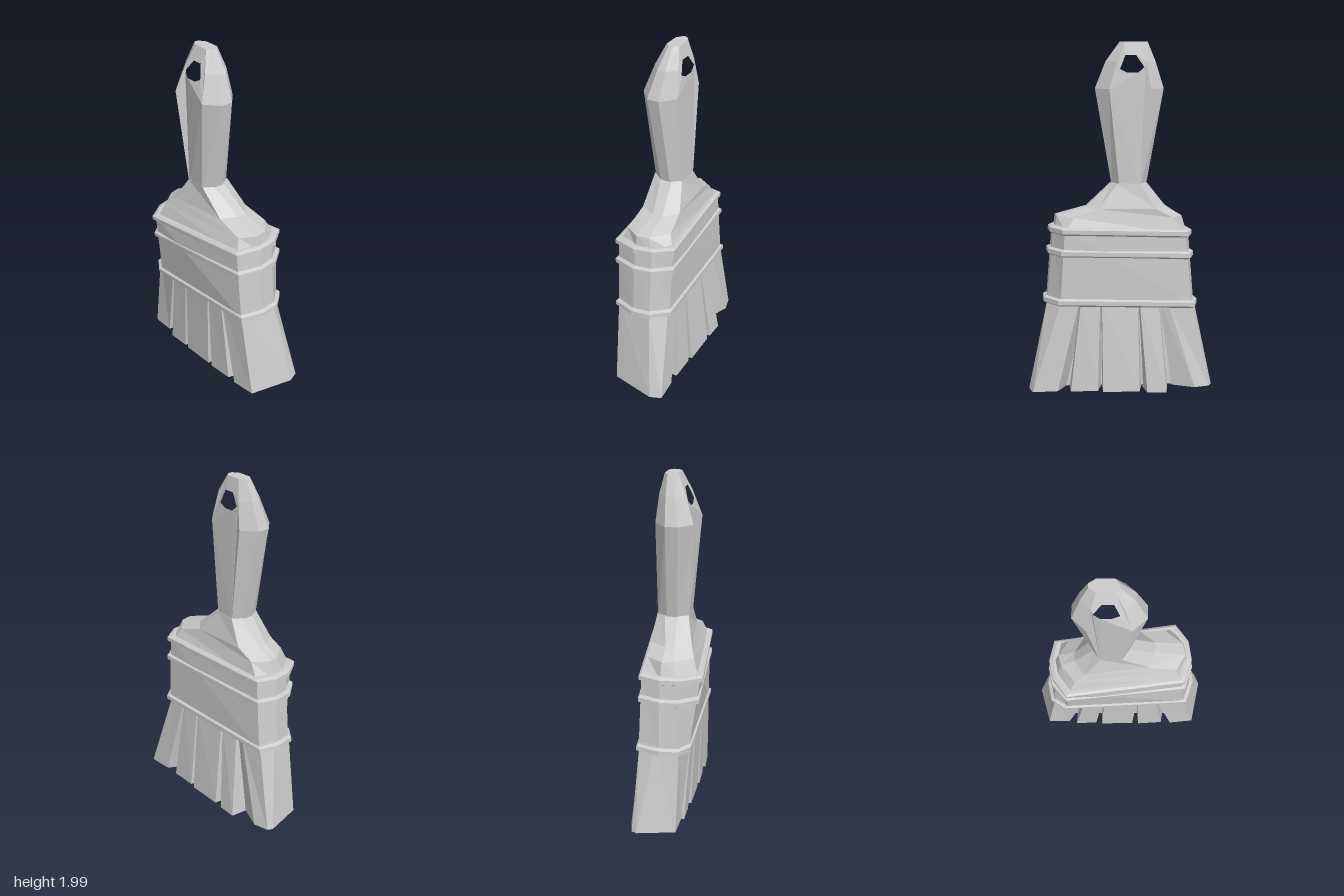
import * as THREE from 'three';

const material = new THREE.MeshStandardMaterial({ color: 0xcccccc, flatShading: true });

// Closed skin over stacked rings of [x, y, z]; rings run from +x towards +z, bottom to top
function loft(name, rings) {
  const pos = [];
  const n = rings[0].length;
  const tri = (...corners) => corners.forEach((c) => pos.push(...c));
  for (let r = 0; r < rings.length - 1; r++) {
    for (let i = 0; i < n; i++) {
      const j = (i + 1) % n, a = rings[r], b = rings[r + 1];
      tri(a[i], b[i], b[j]);
      tri(a[i], b[j], a[j]);
    }
  }
  const bottom = rings[0], top = rings[rings.length - 1];
  for (let i = 1; i < n - 1; i++) {
    tri(bottom[0], bottom[i], bottom[i + 1]);
    tri(top[0], top[i + 1], top[i]);
  }
  const geometry = new THREE.BufferGeometry();
  geometry.setAttribute('position', new THREE.Float32BufferAttribute(pos, 3));
  geometry.computeVertexNormals();
  const mesh = new THREE.Mesh(geometry, material);
  mesh.name = name;
  return mesh;
}

// Rings lean a little, so the bands sit askew
const level = (y, points, lean = 1) =>
  points.map(([x, z]) => [x, y + lean * (0.05 * x + 0.04 * z), z]);

// Ferrule cross-sections at its lower and upper ends
const LOW = [[0.12, -0.41], [0.19, 0.34], [0.1, 0.42], [0, 0.43], [-0.12, 0.39], [-0.15, -0.33], [-0.1, -0.41], [0, -0.43]];
const HIGH = [[0.11, -0.37], [0.195, 0.31], [0.1, 0.38], [0, 0.395], [-0.13, 0.355], [-0.205, -0.3], [-0.1, -0.375], [0, -0.395]];
const LOW_Y = 0.52, HIGH_Y = 0.94;

function ferruleRing(y, grow = 0) {
  const t = (y - LOW_Y) / (HIGH_Y - LOW_Y);
  return level(y, LOW.map(([x, z], i) => {
    const px = x + (HIGH[i][0] - x) * t, pz = z + (HIGH[i][1] - z) * t;
    const len = Math.hypot(px * 2, pz);
    return [px + (grow * px * 2) / len, pz + (grow * pz) / len];
  }));
}

// Piecewise-linear lookup in rows of [y, value, value]
function lookup(rows, y) {
  let k = 0;
  while (k < rows.length - 2 && y > rows[k + 1][0]) k++;
  const t = THREE.MathUtils.clamp((y - rows[k][0]) / (rows[k + 1][0] - rows[k][0]), 0, 1);
  return [1, 2].map((c) => rows[k][c] + (rows[k + 1][c] - rows[k][c]) * t);
}

// Handle: side outline with a hanging hole, edges chamfered by pulling in the outer layers
function makeHandle() {
  const outline = [[0.045, 1.18], [0.14, 1.74], [0.08, 1.89], [0, 2], [-0.155, 2], [-0.2, 1.89], [-0.247, 1.74], [-0.146, 1.18]];
  const hole = [[0, 1.85], [-0.03, 1.925], [-0.09, 1.925], [-0.135, 1.86], [-0.1, 1.83], [-0.04, 1.83]];
  const toPoints = (list) => list.map(([z, y]) => new THREE.Vector2(-z, y));
  const shape = new THREE.Shape(toPoints(outline));
  shape.holes.push(new THREE.Path(toPoints(hole)));
  const geometry = new THREE.ExtrudeGeometry(shape, { depth: 1, steps: 3, bevelEnabled: false });
  geometry.rotateY(Math.PI / 2);
  const thickness = [[1.18, -0.095, 0.078], [1.74, -0.135, 0.075], [1.89, -0.085, 0.06], [2, -0.04, 0.035]];
  const p = geometry.attributes.position;
  for (let i = 0; i < p.count; i++) {
    const t = p.getX(i), y = p.getY(i), z = p.getZ(i);
    const [x0, x1] = lookup(thickness, y);
    p.setX(i, x0 + (x1 - x0) * t);
    const inHole = Math.hypot(z + 0.065, y - 1.875) < 0.085;
    const outer = t < 0.1 || t > 0.9;
    if (!inHole && outer) p.setZ(i, -0.06 + (z + 0.06) * 0.6);
  }
  geometry.computeVertexNormals();
  const mesh = new THREE.Mesh(geometry, material);
  mesh.name = 'handle';
  return mesh;
}

export function createModel() {
  const group = new THREE.Group();

  // Metal ferrule and its three raised bands
  group.add(loft('ferrule', [ferruleRing(LOW_Y), ferruleRing(HIGH_Y)]));
  [0.525, 0.81, 0.935].forEach((y, i) => {
    group.add(loft('ferruleBand' + (i + 1), [
      ferruleRing(y - 0.022, 0), ferruleRing(y - 0.012, 0.02),
      ferruleRing(y + 0.012, 0.02), ferruleRing(y + 0.022, 0),
    ]));
  });

  // Shoulder narrowing from the ferrule to the handle
  group.add(loft('shoulder', [
    ferruleRing(0.93, -0.01),
    level(1.02, [[0.09, -0.3], [0.15, 0.26], [0.07, 0.36], [0, 0.375], [-0.09, 0.32], [-0.16, -0.26], [-0.06, -0.34], [0, -0.355]], 0.4),
    level(1.07, [[0.1, -0.2], [0.125, 0.12], [0.06, 0.2], [0, 0.2], [-0.09, 0.16], [-0.135, -0.2], [-0.05, -0.26], [0, -0.26]], 0.2),
    level(1.21, [[0.08, -0.115], [0.08, 0.015], [0.03, 0.047], [-0.04, 0.047], [-0.098, 0.015], [-0.098, -0.115], [-0.04, -0.148], [0.03, -0.148]], 0),
  ]));
  group.add(makeHandle());

  // Bristle clumps: [bottom height, bottom section, top section]
  const clumps = [
    [0.03,
      [[0.212, 0.36], [0.225, 0.5], [0.16, 0.527], [-0.1, 0.475], [-0.115, 0.33], [0.05, 0.28]],
      [[0.172, 0.235], [0.178, 0.34], [0.1, 0.42], [-0.12, 0.39], [-0.13, 0.23], [0.05, 0.22]]],
    [0.025,
      [[0.2, 0.13], [0.205, 0.285], [0.05, 0.3], [-0.11, 0.27], [-0.12, 0.12], [0.05, 0.1]],
      [[0.162, 0.115], [0.172, 0.225], [0.05, 0.23], [-0.13, 0.22], [-0.135, 0.11], [0.05, 0.1]]],
    [0.02,
      [[0.2, -0.11], [0.205, 0.1], [0.05, 0.11], [-0.115, 0.08], [-0.12, -0.12], [0.04, -0.13]],
      [[0.145, -0.1], [0.16, 0.105], [0.05, 0.11], [-0.135, 0.1], [-0.14, -0.1], [0.04, -0.1]]],
    [0.01,
      [[0.195, -0.265], [0.195, -0.155], [0.05, -0.12], [-0.11, -0.16], [-0.115, -0.29], [0.04, -0.28]],
      [[0.13, -0.22], [0.143, -0.11], [0.05, -0.1], [-0.138, -0.11], [-0.14, -0.22], [0.04, -0.23]]],
    [0.03,
      [[0.14, -0.515], [0.165, -0.43], [0.12, -0.3], [-0.105, -0.335], [-0.105, -0.47], [0.11, -0.53]],
      [[0.115, -0.41], [0.13, -0.27], [0.12, -0.225], [-0.14, -0.23], [-0.11, -0.4], [0.02, -0.425]]],
  ];
  const bristles = new THREE.Group();
  bristles.name = 'bristles';
  clumps.forEach(([y, low, high], i) => {
    bristles.add(loft('bristleClump' + (i + 1), [level(y, low, 0), level(0.54, high, 0)]));
  });

  // Inner bristles closing the slits between clumps
  bristles.add(loft('bristleCore', [
    level(0.03, [[0.1, -0.38], [0.12, 0.38], [-0.05, 0.38], [-0.05, -0.38]], 0),
    level(0.54, [[0.07, -0.33], [0.1, 0.33], [-0.08, 0.33], [-0.09, -0.33]], 0),
  ]));
  group.add(bristles);
  return group;
}
